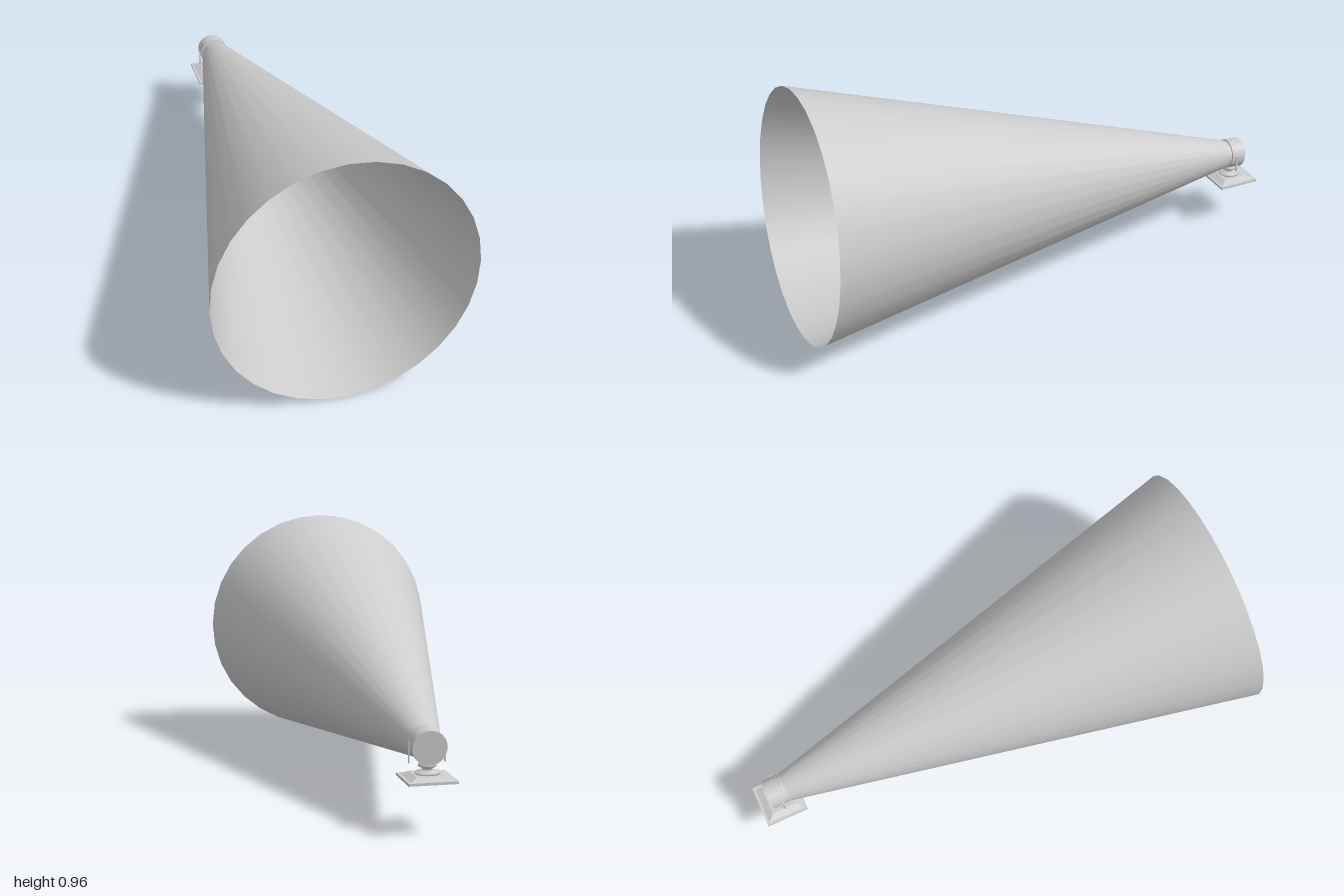
import * as THREE from 'three';

const TILT = THREE.MathUtils.degToRad(5);

export function createModel() {
  const model = new THREE.Group();
  model.name = 'spotlight';
  const metal = new THREE.MeshStandardMaterial({ color: 0xcccccc });
  metal.name = 'light grey';
  const beamGrey = new THREE.MeshStandardMaterial({ color: 0xcccccc, side: THREE.DoubleSide });
  beamGrey.name = 'beam grey';

  const add = (parent, name, geometry, material, x = 0, y = 0, z = 0) => {
    const mesh = new THREE.Mesh(geometry, material);
    mesh.name = name;
    mesh.position.set(x, y, z);
    parent.add(mesh);
    return mesh;
  };

  // Head, aimed slightly upwards; its local +z is the light direction
  const head = new THREE.Group();
  head.name = 'head';
  head.position.set(0, 0.298, -0.912);
  head.rotation.x = -TILT;
  model.add(head);

  // Cylinder lying along z, from z0 to z1
  const barrel = (r0, r1, z0, z1, open = false) =>
    new THREE.CylinderGeometry(r1, r0, z1 - z0, 32, 1, open)
      .rotateX(Math.PI / 2)
      .translate(0, 0, (z0 + z1) / 2);

  add(head, 'lampBody', barrel(0.06, 0.06, -0.038, 0.022), metal);
  add(head, 'lampNeckRing', barrel(0.054, 0.054, 0.022, 0.03), metal);
  add(head, 'lampLens', barrel(0.058, 0.058, 0.03, 0.04), metal);

  // Open light cones, sheared a touch so the axis climbs more than the rim leans
  const shear = new THREE.Matrix4().makeShear(0, 0, 0, 0, 0, 0.0125);
  const cone = (name, r0, r1, length) => {
    const g = barrel(r0, r1, 0, length, true);
    g.applyMatrix4(new THREE.Matrix4().set(1, 0, 0, 0, 0, 1, 0.0125, 0, 0, 0, 1, 0, 0, 0, 0, 1));
    add(head, name, g, beamGrey, 0, 0, 0.036);
  };
  cone('outerBeam', 0.0585, 0.483, 1.845);
  cone('innerBeam', 0.0575, 0.117, 1.01);

  // Yoke arms at both sides of the lamp
  for (const side of [-1, 1]) {
    add(model, 'yokeArm', new THREE.BoxGeometry(0.004, 0.07, 0.008), metal, side * 0.062, 0.275, -0.91);
  }

  // Square foot: plate, then a bevelled step
  const foot = new THREE.Group();
  foot.name = 'foot';
  foot.position.set(0, 0.182, -0.915);
  model.add(foot);
  add(foot, 'footPlate', new THREE.BoxGeometry(0.17, 0.009, 0.17), metal, 0, 0.0045, 0);
  const bevel = new THREE.CylinderGeometry(0.05 * Math.SQRT2, 0.075 * Math.SQRT2, 0.012, 4, 1)
    .rotateY(Math.PI / 4).toNonIndexed();
  bevel.computeVertexNormals();
  add(foot, 'footBevel', bevel, metal, 0, 0.015, 0);

  // Turned swivel between foot and lamp
  const swivel = [[0, 0.02], [0.042, 0.02], [0.042, 0.028], [0.02, 0.032], [0.016, 0.04],
    [0.03, 0.046], [0.03, 0.054], [0.02, 0.064], [0, 0.064]];
  const turned = new THREE.LatheGeometry(swivel.map(([r, y]) => new THREE.Vector2(r, y)), 24);
  add(foot, 'swivel', turned, metal);

  return model;
}
